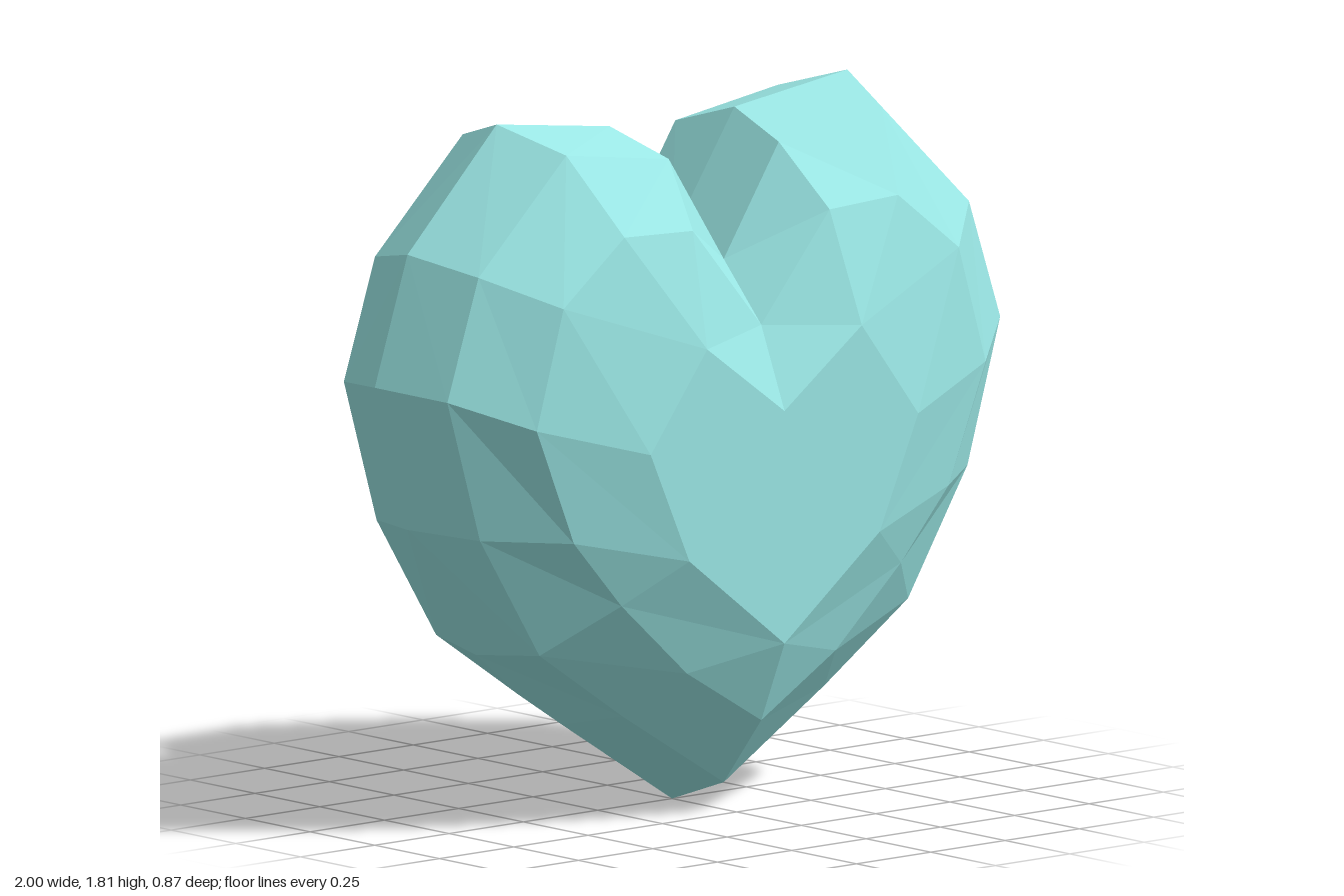
import * as THREE from 'three';

// Half outlines of the heart, from the notch round the lobe to the bottom tip.
// The last ring repeats points so every ring has nine.
const rings = [
  { z: 0, pts: [[0, 1.45], [0.21, 1.76], [0.59, 1.81], [0.89, 1.51], [1, 1.18], [0.89, 0.8], [0.66, 0.45], [0.37, 0.235], [0, 0]] },
  { z: 0.2, pts: [[0, 1.42], [0.185, 1.7], [0.53, 1.75], [0.825, 1.47], [0.93, 1.16], [0.82, 0.79], [0.62, 0.47], [0.34, 0.28], [0, 0.07]] },
  { z: 0.345, pts: [[0, 1.27], [0.23, 1.54], [0.46, 1.55], [0.665, 1.39], [0.755, 1.085], [0.63, 0.78], [0.47, 0.6], [0.25, 0.4], [0, 0.25]] },
  { z: 0.435, pts: [[0, 1.06], [0.26, 1.25], [0.26, 1.25], [0.26, 1.25], [0.45, 1], [0.32, 0.71], [0.32, 0.71], [0, 0.46], [0, 0.46]] },
];

function heartGeometry() {
  const positions = [];

  // Adds one triangle of a quarter, mirrored by sx and sz; collapsed ones are skipped
  function triangle(corners, sx, sz) {
    const [a, b, c] = corners.map(([x, y, z]) => new THREE.Vector3(x * sx, y, z * sz));
    if (a.equals(b) || b.equals(c) || a.equals(c)) return;
    const order = sx * sz > 0 ? [a, b, c] : [a, c, b];
    for (const v of order) positions.push(v.x, v.y, v.z);
  }

  const at = (k, i) => [...rings[k].pts[i], rings[k].z];
  const last = rings.length - 1;
  const count = rings[0].pts.length;

  for (const sx of [1, -1]) {
    for (const sz of [1, -1]) {
      for (let i = 0; i < count - 1; i++) {
        // Bevelled bands from the rim inwards
        for (let k = 0; k < last; k++) {
          triangle([at(k, i), at(k + 1, i), at(k + 1, i + 1)], sx, sz);
          triangle([at(k, i), at(k + 1, i + 1), at(k, i + 1)], sx, sz);
        }
        // Flat face, fanned from the notch
        if (i > 0) triangle([at(last, 0), at(last, i + 1), at(last, i)], sx, sz);
      }
    }
  }

  const geometry = new THREE.BufferGeometry();
  geometry.setAttribute('position', new THREE.Float32BufferAttribute(positions, 3));
  geometry.computeVertexNormals();
  return geometry;
}

export function createModel() {
  const group = new THREE.Group();
  group.name = 'heartGem';
  const material = new THREE.MeshStandardMaterial({ color: 0x9be8e6, flatShading: true });
  const heart = new THREE.Mesh(heartGeometry(), material);
  heart.name = 'heart';
  group.add(heart);
  return group;
}
